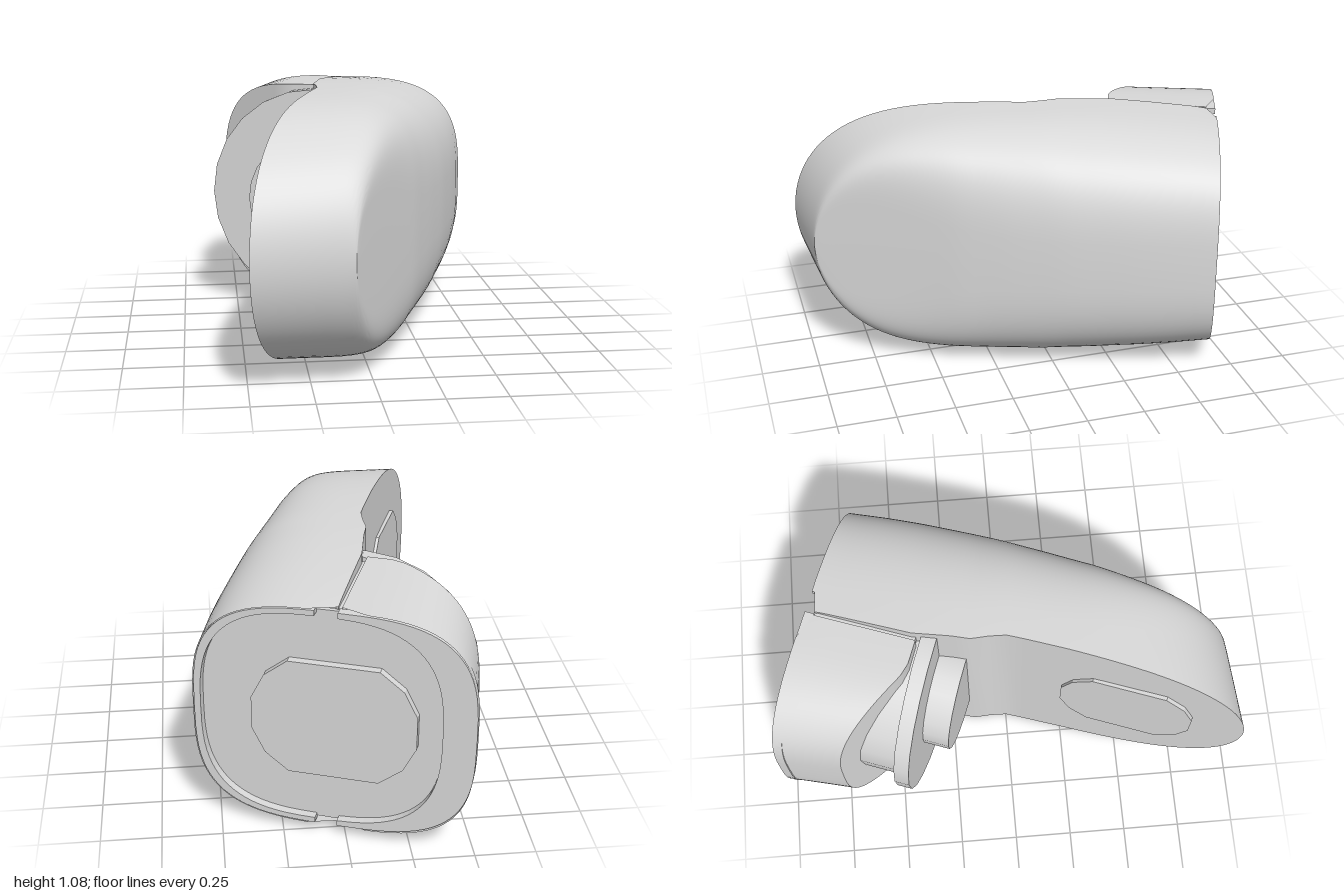
import * as THREE from 'three';
import { toCreasedNormals } from 'three/addons/utils/BufferGeometryUtils.js';

const MID = 0.54;      // height of the symmetry plane
const BACK = -0.775;   // back end along the housing axis
const SPLIT = -0.242;  // seam between housing and cap
const RECESS = 0.04;   // depth of the back plate behind the rim

// piecewise-linear curve through [x, y] pairs
function curve(points, x) {
  for (let i = 1; i < points.length; i++) {
    const [x0, y0] = points[i - 1], [x1, y1] = points[i];
    if (x <= x1) return y0 + (y1 - y0) * Math.max(0, (x - x0) / (x1 - x0));
  }
  return points[points.length - 1][1];
}

// point on a superellipse of exponent n
function superPoint(angle, n) {
  const c = Math.cos(angle), s = Math.sin(angle);
  return [Math.sign(c) * Math.abs(c) ** (2 / n), Math.sign(s) * Math.abs(s) ** (2 / n)];
}

// loft of D-shaped sections; section(t, angle) returns [x, y, z]
function loftD(section, stations, flip, closeEnd) {
  const n = 40, pos = [], index = [];
  const tri = (a, b, c) => (flip ? index.push(a, c, b) : index.push(a, b, c));
  stations.forEach((t, i) => {
    for (let j = 0; j <= n; j++) {
      const [x, y, z] = section(t, Math.PI * (0.5 - j / n));
      // the flat side starts behind the recessed plate
      const flatStart = i === 0 && j % n === 0;
      pos.push(x, y, flatStart ? z + RECESS : z);
    }
  });
  const at = (i, j) => i * (n + 1) + (j % (n + 1));
  for (let i = 0; i < stations.length - 1; i++) {
    for (let j = 0; j <= n; j++) {
      tri(at(i, j), at(i + 1, j), at(i, j + 1));
      tri(at(i, j + 1), at(i + 1, j), at(i + 1, j + 1));
    }
  }
  if (closeEnd) {
    const e = stations.length - 1;
    for (let j = 0; j < n / 2; j++) {
      tri(at(e, j), at(e, n - j), at(e, j + 1));
      tri(at(e, j + 1), at(e, n - j), at(e, n - j - 1));
    }
  }
  const geo = new THREE.BufferGeometry();
  geo.setAttribute('position', new THREE.Float32BufferAttribute(pos, 3));
  geo.setIndex(index);
  return toCreasedNormals(geo, 0.6);
}

// superellipse outline, whole or in part
function ovalPoints(cx, a, b, n, from = 0, to = Math.PI * 2, steps = 64) {
  return Array.from({ length: steps + 1 }, (_, i) => {
    const [u, v] = superPoint(from + ((to - from) * i) / steps, n);
    return new THREE.Vector2(cx + a * u, MID + b * v);
  });
}

// plate with flat top and bottom and faceted ends
function facetPlate(a, b, depth) {
  const quarter = [[1, 0.28], [0.84, 0.7], [0.55, 1]];
  const pts = [
    ...quarter.map(([x, y]) => [x, y]),
    ...quarter.map(([x, y]) => [-x, y]).reverse(),
    ...quarter.map(([x, y]) => [-x, -y]),
    ...quarter.map(([x, y]) => [x, -y]).reverse(),
  ].map(([x, y]) => new THREE.Vector2(x * a, y * b));
  return new THREE.ExtrudeGeometry(new THREE.Shape(pts), { depth, bevelEnabled: false });
}

export function createModel() {
  const root = new THREE.Group();
  const body = new THREE.Group();
  body.name = 'mirrorHousing';
  body.rotation.y = -THREE.MathUtils.degToRad(20);
  root.add(body);

  const grey = new THREE.MeshStandardMaterial({ color: 0xd9d9d9, side: THREE.DoubleSide });
  grey.name = 'lightGrey';
  const add = (name, geo, x = 0, y = 0, z = 0) => {
    const mesh = new THREE.Mesh(geo, grey);
    mesh.name = name;
    mesh.position.set(x, y, z);
    body.add(mesh);
  };

  // main shell: rounded at the back, blunt slanted nose with a U outline
  const inner = [[0, -0.235], [0.25, -0.232], [0.295, -0.209], [0.36, -0.196],
    [0.4, -0.165], [0.44, -0.141], [0.58, -0.133], [1, -0.125]];
  const outer = [[0, 0.352], [0.1, 0.369], [0.21, 0.381], [0.38, 0.386],
    [0.52, 0.373], [0.65, 0.352], [1, 0.246]];
  const shell = (t, angle) => {
    const [u, v] = superPoint(angle, 3.2 + 12 * t ** 6);
    const p0 = curve(inner, t);
    const p = p0 + (curve(outer, t) - p0) * u;
    const h = t < 0.4
      ? 0.495 + 0.045 * Math.sin((t / 0.4) * Math.PI / 2)
      : 0.54 * Math.sqrt(Math.max(0, 1 - ((t - 0.4) / 0.6) ** 3.6));
    const tip = 1.11 - 0.45 * (p + 0.122);
    return [p, MID + h * v, BACK + (tip - BACK) * t];
  };
  const stations = Array.from({ length: 41 }, (_, i) => 1 - (1 - i / 40) ** 2);
  add('mainShell', loftD(shell, stations, false, false));

  // side cap with a slanted front edge
  const cap = (t, angle) => {
    const [u, v] = superPoint(angle, 3.2);
    const p = -0.25 - (0.543 - 0.036 * t) * u;
    const front = -0.3 - 0.2 * THREE.MathUtils.clamp((-0.38 - p) / 0.377, 0, 1);
    return [p, MID + (0.495 + 0.012 * t) * v, BACK + (front - BACK) * t];
  };
  add('sideCap', loftD(cap, [0, 0.25, 0.5, 0.75, 1], true, true));

  // core that closes the seam between shell and cap
  add('seamCore', new THREE.BoxGeometry(0.04, 0.97, 0.42), SPLIT, MID, BACK + 0.05 + 0.21);

  // two rim halves around the recessed back plate, notched at the seam
  const H = Math.PI / 2;
  const rimHalf = (from, to, limit) => {
    const outline = ovalPoints(-0.223, 0.57, 0.49, 3.2, from, to, 40);
    const hole = ovalPoints(-0.17, 0.49, 0.466, 2.9, from, to, 40).reverse();
    const points = [...outline, ...hole];
    points.forEach((v) => { v.x = limit(v.x); });
    return new THREE.ExtrudeGeometry(new THREE.Shape(points),
      { depth: RECESS, bevelEnabled: false });
  };
  add('shellRim', rimHalf(-H, H, (x) => Math.max(x, -0.15)), 0, 0, BACK);
  add('capRim', rimHalf(H, 3 * H, (x) => Math.min(x, SPLIT)), 0, 0, BACK);
  const plate = new THREE.ExtrudeGeometry(
    new THREE.Shape(ovalPoints(-0.223, 0.56, 0.48, 3.2)), { depth: 0.02, bevelEnabled: false });
  add('backPlate', plate, 0, 0, BACK + 0.036);
  add('backPad', facetPlate(0.335, 0.255, RECESS), -0.225, MID, BACK + 0.002);

  // pad on the flat inner face
  const pad = facetPlate(0.29, 0.255, 0.03);
  pad.rotateY(-Math.PI / 2);
  add('innerPad', pad, -0.116, MID, 0.59);

  // stepped pivot in front of the cap: [name, radius, start, end]
  [['pivotNeck', 0.445, -0.6, -0.27], ['pivotFlange', 0.495, -0.285, -0.22],
    ['pivotBoss', 0.285, -0.23, -0.105]].forEach(([name, r, z0, z1]) => {
    const geo = new THREE.CylinderGeometry(r, r, z1 - z0, 24);
    geo.rotateX(Math.PI / 2);
    add(name, geo, -0.225, MID, (z0 + z1) / 2);
  });

  return root;
}
